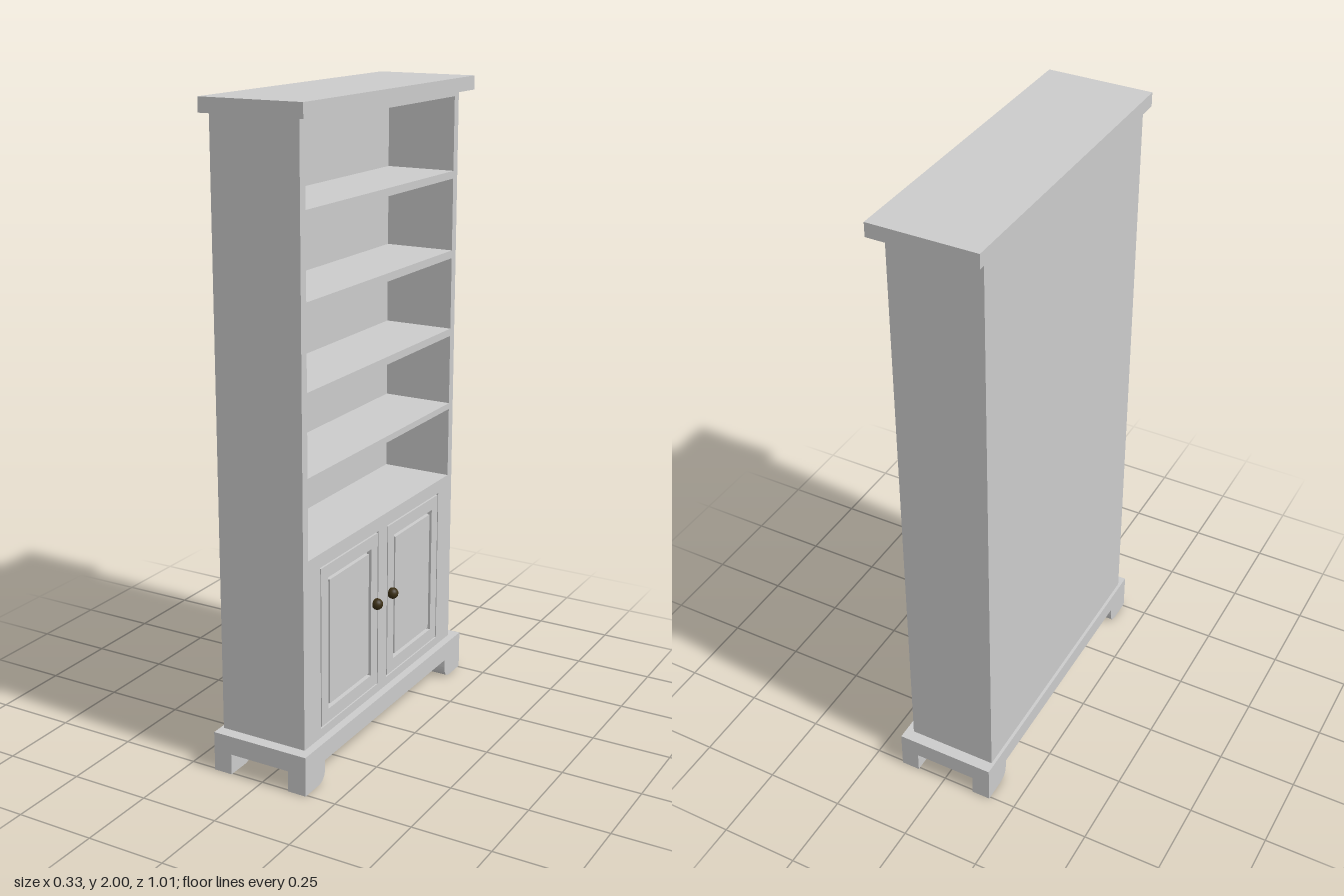
import * as THREE from 'three';

const grey = new THREE.MeshStandardMaterial({ color: 0xcccccc });
const bronze = new THREE.MeshStandardMaterial({ color: 0x3a2e14 });

// Rectangle outline in the z-y plane
function rect(z0, z1, y0, y1, Type = THREE.Shape) {
  return new Type([[z0, y0], [z1, y0], [z1, y1], [z0, y1]].map(([z, y]) => new THREE.Vector2(z, y)));
}

export function createModel() {
  const model = new THREE.Group();
  model.name = 'bookcase';

  const add = (name, geometry, material = grey) => {
    const mesh = new THREE.Mesh(geometry, material);
    mesh.name = name;
    model.add(mesh);
    return mesh;
  };

  const box = (name, x0, x1, y0, y1, z0, z1) =>
    add(name, new THREE.BoxGeometry(x1 - x0, y1 - y0, z1 - z0))
      .position.set((x0 + x1) / 2, (y0 + y1) / 2, (z0 + z1) / 2);

  // Extrude a z-y outline from x0 to x1 (the outline's first axis maps to -z)
  const slab = (name, shape, x0, x1) => {
    const g = new THREE.ExtrudeGeometry(shape, { depth: x1 - x0, bevelEnabled: false, curveSegments: 8 });
    g.rotateY(Math.PI / 2);
    g.translate(x0, 0, 0);
    return add(name, g);
  };

  // Open compartments [bottom, top] and door openings
  const bays = [[0.71, 0.937], [0.957, 1.182], [1.206, 1.435], [1.46, 1.687], [1.711, 1.94]];
  const bayHoles = () => bays.map(([y0, y1]) => rect(-0.442, 0.442, y0, y1, THREE.Path));
  const doors = [[-0.376, -0.028], [0.028, 0.376]];

  // Carcass with shelves, front face frame and back panel
  const carcass = rect(-0.47, 0.47, 0.125, 1.957);
  carcass.holes.push(...bayHoles());
  slab('carcassShelves', carcass, -0.1, 0.115);

  const frame = rect(-0.47, 0.47, 0.125, 1.957);
  frame.holes.push(...bayHoles(), ...doors.map(([a, b]) => rect(a, b, 0.153, 0.667, THREE.Path)));
  slab('faceFrame', frame, 0.115, 0.13);

  box('backPanel', -0.155, -0.1, 0.125, 1.957, -0.47, 0.47);

  // Top board and plinth
  box('topBoard', -0.165, 0.165, 1.957, 2, -0.507, 0.507);
  box('plinth', -0.165, 0.155, 0.066, 0.125, -0.507, 0.507);

  // Doors: rail frame, a groove, and a centre panel
  for (const [a, b] of doors) {
    const rails = rect(a + 0.005, b - 0.005, 0.158, 0.662);
    rails.holes.push(rect(a + 0.045, b - 0.045, 0.2, 0.622, THREE.Path));
    slab('doorFrame', rails, 0.115, 0.13);
    slab('doorPanel', rect(a + 0.057, b - 0.057, 0.212, 0.61), 0.115, 0.128);
  }

  // Feet with a rounded inner corner, and the knobs
  for (const s of [-1, 1]) {
    const foot = new THREE.Shape();
    foot.moveTo(s * 0.507, 0);
    foot.lineTo(s * 0.435, 0);
    foot.quadraticCurveTo(s * 0.397, 0, s * 0.395, 0.04);
    foot.lineTo(s * 0.395, 0.066);
    foot.lineTo(s * 0.507, 0.066);
    foot.closePath();
    slab('backFoot', foot, -0.165, -0.105);
    slab('frontFoot', foot, 0.095, 0.155);

    add('knob', new THREE.SphereGeometry(0.018, 20, 14), bronze).position.set(0.139, 0.435, s * 0.05);
  }

  return model;
}
